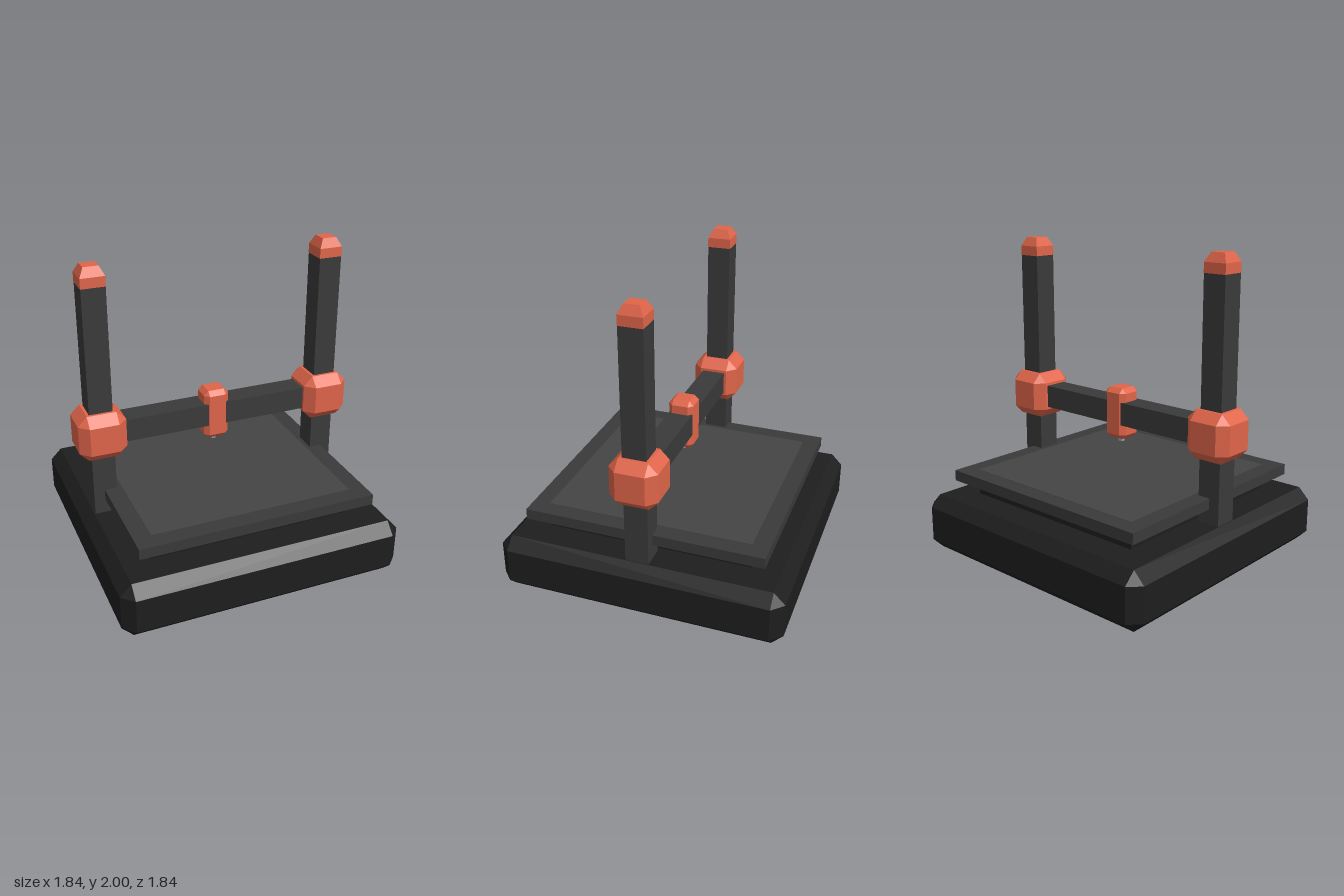
import * as THREE from 'three';
import { ConvexGeometry } from 'three/addons/geometries/ConvexGeometry.js';

const paint = (color) => new THREE.MeshStandardMaterial({ color, flatShading: true });

// Box with every edge and corner cut by c, centred on the origin
function chamferBox(w, h, d, c) {
  const half = [w / 2, h / 2, d / 2];
  const points = [];
  for (let axis = 0; axis < 3; axis++)
    for (const sx of [-1, 1])
      for (const sy of [-1, 1])
        for (const sz of [-1, 1]) {
          const p = half.map((v, i) => (i === axis ? v : v - c));
          points.push(new THREE.Vector3(sx * p[0], sy * p[1], sz * p[2]));
        }
  return new ConvexGeometry(points);
}

export function createModel() {
  const model = new THREE.Group();
  model.name = 'printer';

  const black = paint(0x1e1e1e);
  const dark = paint(0x3a3a3a);
  const bedGrey = paint(0x454545);
  const orange = paint(0xe0654a);
  const steel = paint(0x9aa0b0);

  const add = (name, geometry, material, x, y, z = 0, parent = model) => {
    const mesh = new THREE.Mesh(geometry, material);
    mesh.name = name;
    mesh.position.set(x, y, z);
    parent.add(mesh);
    return mesh;
  };
  const box = (w, h, d) => new THREE.BoxGeometry(w, h, d);

  // Base and print bed
  add('base', chamferBox(1.842, 0.37, 1.842, 0.073), black, 0, 0.185);
  add('pedestal', box(1.326, 0.097, 1.326), black, 0, 0.4165);
  add('bedPlate', box(1.546, 0.07, 1.546), dark, 0, 0.5);
  add('printSurface', box(1.326, 0.004, 1.326), bedGrey, 0, 0.535);

  // Posts with tapered caps and sliding clamps
  for (const side of [-1, 1]) {
    const tower = new THREE.Group();
    tower.name = side > 0 ? 'leftTower' : 'rightTower';
    tower.position.x = side * 0.768;
    model.add(tower);
    add('post', box(0.15, 1.52, 0.15), dark, 0, 1.12, 0, tower);
    add('capBase', box(0.152, 0.063, 0.152), orange, 0, 1.9115, 0, tower);
    const taper = new THREE.CylinderGeometry(0.047 * Math.SQRT2, 0.076 * Math.SQRT2, 0.057, 4);
    taper.rotateY(Math.PI / 4);
    add('capTip', taper, orange, 0, 1.9715, 0, tower);
    add('clamp', chamferBox(0.306, 0.306, 0.306, 0.06), orange, 0, 0.927, 0, tower);
  }

  // Crossbeam carrying the print head
  add('crossbeam', box(1.4, 0.15, 0.154), dark, 0, 0.927);
  add('printHead', chamferBox(0.166, 0.336, 0.166, 0.03), orange, 0, 0.921);
  add('nozzle', box(0.028, 0.05, 0.028), steel, 0, 0.745);

  return model;
}
